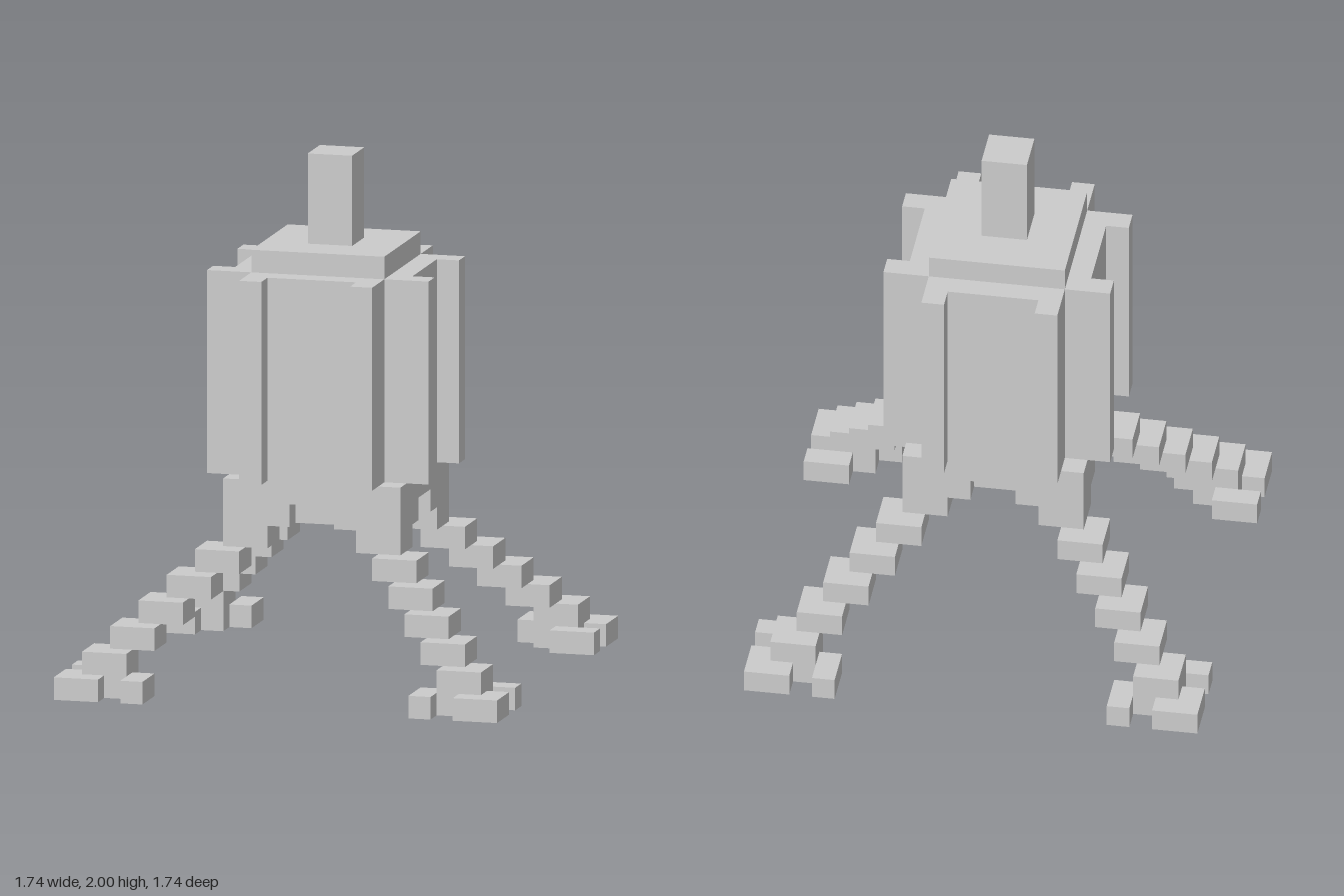
import * as THREE from 'three';

const U = 2 / 23; // one block unit: the model is 23 blocks tall
const material = new THREE.MeshStandardMaterial({ color: 0xcccccc, flatShading: true });

// Box given by its minimum and maximum corner in block units
function block(parent, name, [x0, y0, z0], [x1, y1, z1]) {
  const geometry = new THREE.BoxGeometry((x1 - x0) * U, (y1 - y0) * U, (z1 - z0) * U);
  geometry.translate((x0 + x1) / 2 * U, (y0 + y1) / 2 * U, (z0 + z1) / 2 * U);
  const mesh = new THREE.Mesh(geometry, material);
  mesh.name = name;
  parent.add(mesh);
}

// One side of the body, facing +z
function createSide() {
  const side = new THREE.Group();
  side.name = 'bodySide';
  block(side, 'sidePanel', [-2, 8, 3], [2, 18, 4]);
  for (const s of [-1, 1]) {
    const span = (a, b) => (s > 0 ? [a, b] : [-b, -a]);
    const [r0, r1] = span(2, 3);
    block(side, 'verticalRib', [r0, 9, 3], [r1, 18, 5]);
    // lower edge beside the central notch
    const [n0, n1] = span(1, 2);
    block(side, 'skirtTab', [n0, 7, 3], [n1, 8, 4]);
  }
  return side;
}

// One stepped diagonal leg, pointing to +x +z
function createLeg() {
  const leg = new THREE.Group();
  leg.name = 'leg';
  block(leg, 'hipBlock', [2, 6, 2], [4, 9, 4]);
  for (let i = 0; i < 4; i++) {
    block(leg, 'legStep', [3 + i, 5 - i, 3 + i], [5 + i, 6 - i, 5 + i]);
  }
  block(leg, 'ankle', [7, 0, 7], [9, 2, 9]);
  block(leg, 'frontToe', [8, 0, 8], [10, 1, 10]);
  block(leg, 'sideToe', [6, 0, 8], [7, 1, 10]);
  block(leg, 'sideToe', [8, 0, 6], [10, 1, 7]);
  return leg;
}

export function createModel() {
  const model = new THREE.Group();
  model.name = 'steppedTripodTower';

  // Central body, cap and post
  block(model, 'bodyCore', [-3, 7, -3], [3, 18, 3]);
  block(model, 'cap', [-3, 18, -3], [3, 19, 3]);
  block(model, 'topPost', [-1, 19, -1], [1, 23, 1]);

  // Four identical sides and legs around the axis
  for (let i = 0; i < 4; i++) {
    for (const part of [createSide(), createLeg()]) {
      part.rotation.y = i * Math.PI / 2;
      model.add(part);
    }
  }
  return model;
}
